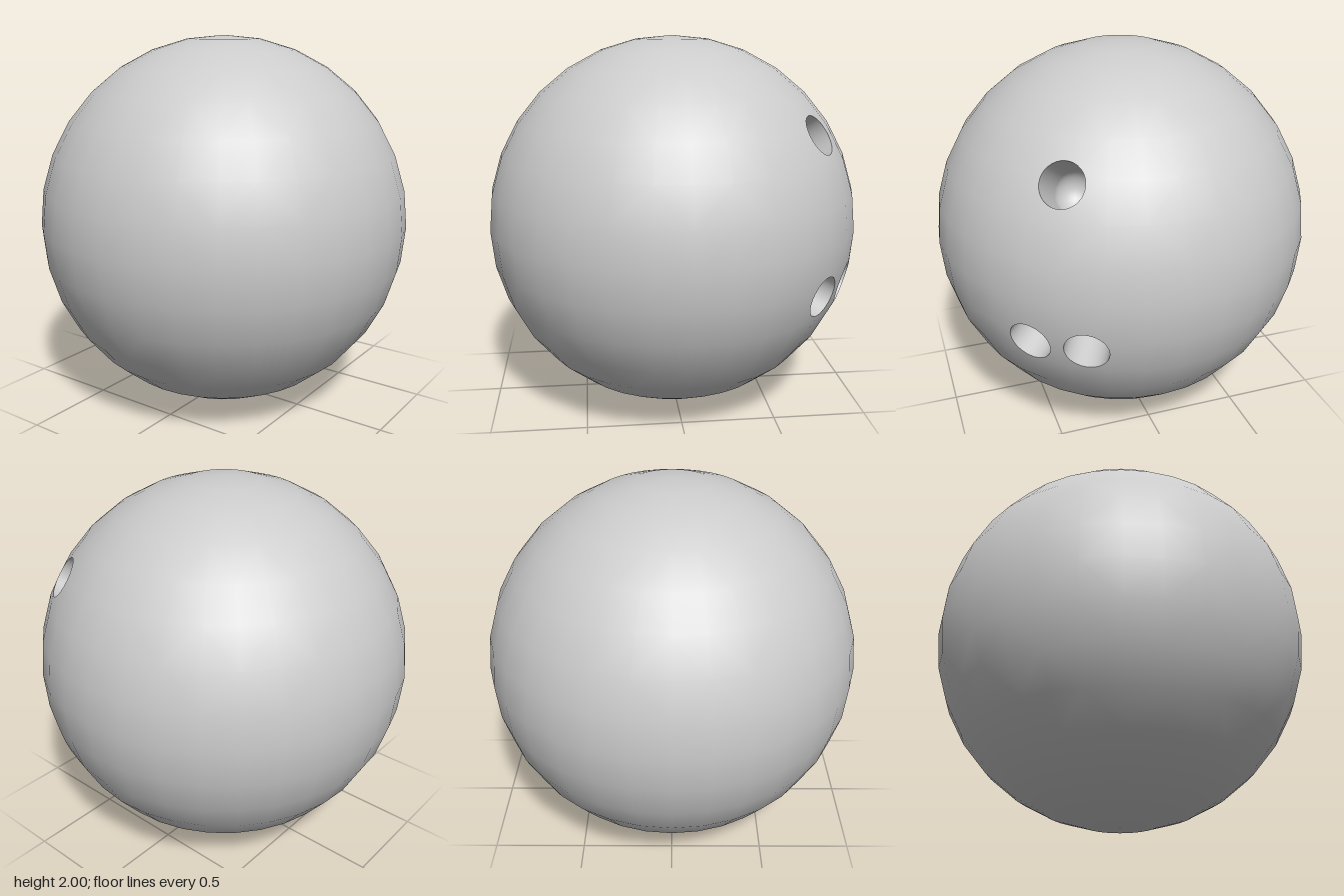
import * as THREE from 'three';
import { ConvexGeometry } from 'three/addons/geometries/ConvexGeometry.js';

const HOLE_RADIUS = 0.11;
const HOLE_DEPTH = 0.32;
const HOLE_SIDES = 32;
const RIM_HEIGHT = Math.sqrt(1 - HOLE_RADIUS ** 2); // distance of the rim plane from the ball centre

const HOLES = [
  { name: 'thumbHole', axis: new THREE.Vector3(0.68, 0.53, 0.5).normalize() },
  { name: 'fingerHoleLeft', axis: new THREE.Vector3(0.85, -0.25, 0.45).normalize() },
  { name: 'fingerHoleRight', axis: new THREE.Vector3(0.68, -0.25, 0.68).normalize() },
];
const UP = new THREE.Vector3(0, 1, 0);
for (const hole of HOLES) hole.turn = new THREE.Quaternion().setFromUnitVectors(UP, hole.axis);

// Ball surface: sphere grid plus rim circles, hulled, with the rim discs left open
function shellGeometry() {
  const points = [];
  const grid = new THREE.SphereGeometry(1, 32, 16).getAttribute('position');
  const clearance = Math.asin(HOLE_RADIUS) * 1.15;
  for (let i = 0; i < grid.count; i++) {
    const p = new THREE.Vector3().fromBufferAttribute(grid, i);
    if (HOLES.every((h) => p.angleTo(h.axis) > clearance)) points.push(p);
  }
  for (const { turn } of HOLES) {
    for (let i = 0; i < HOLE_SIDES; i++) {
      const a = (i / HOLE_SIDES) * Math.PI * 2;
      points.push(new THREE.Vector3(HOLE_RADIUS * Math.sin(a), RIM_HEIGHT, HOLE_RADIUS * Math.cos(a)).applyQuaternion(turn));
    }
  }

  const hull = new ConvexGeometry(points).getAttribute('position');
  const positions = [];
  const normals = [];
  for (let i = 0; i < hull.count; i += 3) {
    const corners = [0, 1, 2].map((k) => new THREE.Vector3().fromBufferAttribute(hull, i + k));
    const insideRim = HOLES.some((h) => corners.every((c) => c.dot(h.axis) > RIM_HEIGHT - 1e-5));
    if (insideRim) continue;
    for (const c of corners) {
      positions.push(c.x, c.y, c.z);
      c.normalize();
      normals.push(c.x, c.y, c.z);
    }
  }
  const geometry = new THREE.BufferGeometry();
  geometry.setAttribute('position', new THREE.Float32BufferAttribute(positions, 3));
  geometry.setAttribute('normal', new THREE.Float32BufferAttribute(normals, 3));
  return geometry;
}

// Drilled hole: straight wall ending in a rounded bottom
function holeGeometry() {
  const profile = [new THREE.Vector2(HOLE_RADIUS, RIM_HEIGHT)];
  const arcCentre = RIM_HEIGHT - HOLE_DEPTH + HOLE_RADIUS;
  for (let i = 0; i <= 8; i++) {
    const a = (i / 8) * Math.PI / 2;
    profile.push(new THREE.Vector2(HOLE_RADIUS * Math.cos(a), arcCentre - HOLE_RADIUS * Math.sin(a)));
  }
  return new THREE.LatheGeometry(profile, HOLE_SIDES);
}

export function createModel() {
  const group = new THREE.Group();
  group.name = 'bowlingBall';
  const material = new THREE.MeshStandardMaterial({ color: 0xcccccc, side: THREE.DoubleSide });

  const shell = new THREE.Mesh(shellGeometry(), material);
  shell.name = 'ballSurface';
  shell.position.y = 1;
  group.add(shell);

  const hollow = holeGeometry();
  for (const { name, turn } of HOLES) {
    const hole = new THREE.Mesh(hollow, material);
    hole.name = name;
    hole.quaternion.copy(turn);
    hole.position.y = 1;
    group.add(hole);
  }
  return group;
}
